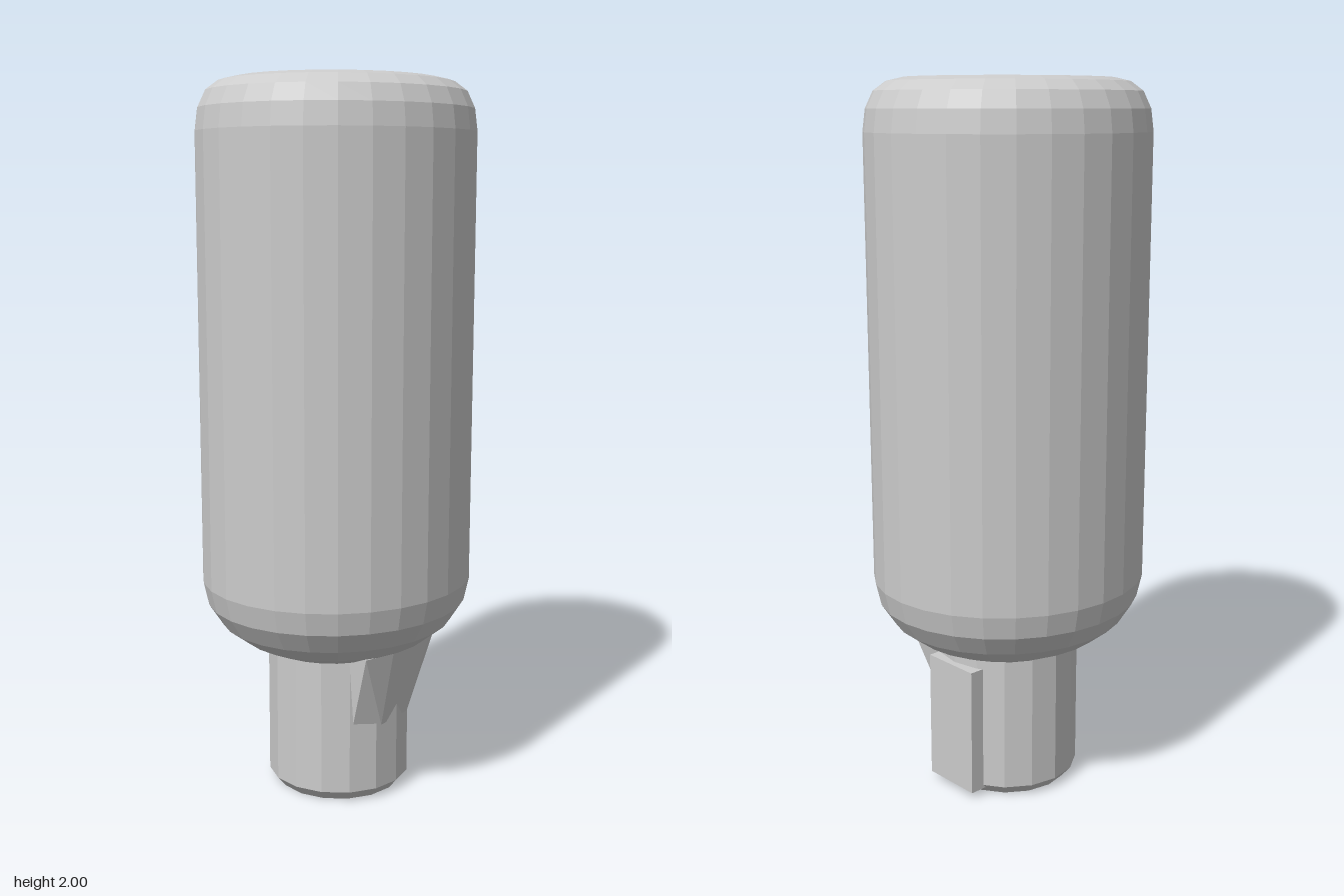
import * as THREE from 'three';
import { ConvexGeometry } from 'three/addons/geometries/ConvexGeometry.js';

const material = new THREE.MeshStandardMaterial({ color: 0xcccccc, flatShading: true, side: THREE.DoubleSide });

function addMesh(group, name, geometry) {
  const mesh = new THREE.Mesh(geometry, material);
  mesh.name = name;
  group.add(mesh);
  return mesh;
}

function lathe(profile, sides) {
  return new THREE.LatheGeometry(profile.map(([r, y]) => new THREE.Vector2(r, y)), sides);
}

export function createModel() {
  const group = new THREE.Group();
  group.name = 'upturnedBottle';

  // Body: rounded shoulder, straight wall, rounded base rim
  const body = lathe([
    [0.17, 0.40], [0.22, 0.42], [0.285, 0.45], [0.345, 0.495], [0.385, 0.555], [0.40, 0.62],
    [0.40, 1.86], [0.392, 1.92], [0.37, 1.965], [0.335, 1.99], [0.29, 2.0], [0.23, 1.99],
  ], 28);
  body.scale(1, 1, 0.94);
  addMesh(group, 'body', body);

  // Hollow in the base, deepest behind its middle
  const hollow = lathe([[0.23, 1.99], [0.19, 1.95], [0.12, 1.925], [0, 1.915]], 28);
  hollow.scale(1, 1, 0.94);
  const p = hollow.attributes.position;
  for (let i = 0; i < p.count; i++) {
    const inside = 1 - Math.hypot(p.getX(i), p.getZ(i) / 0.94) / 0.23;
    p.setY(i, p.getY(i) + 0.12 * inside * p.getZ(i));
  }
  addMesh(group, 'baseHollow', hollow);

  // Neck with a closed, slightly bevelled mouth
  const neck = lathe([[0, 0], [0.18, 0], [0.205, 0.03], [0.205, 0.46]], 16);
  neck.translate(0.005, 0, 0.003);
  addMesh(group, 'neck', neck);

  // Side rib on the neck
  const rib = new THREE.BoxGeometry(0.12, 0.37, 0.18);
  rib.translate(0.168, 0.205, 0);
  addMesh(group, 'neckRib', rib);

  // Flared web joining the front of the neck to the shoulder
  const web = [
    [-0.15, 0.44, 0.21], [0.2, 0.44, 0.21], [-0.06, 0.44, 0.24], [0.12, 0.44, 0.24],
    [-0.13, 0.22, 0.15], [0.14, 0.22, 0.15], [-0.06, 0.22, 0.2], [0.07, 0.22, 0.2],
    [-0.13, 0.44, 0.05], [0.16, 0.44, 0.05],
  ].map((v) => new THREE.Vector3(...v));
  addMesh(group, 'neckWeb', new ConvexGeometry(web));

  return group;
}
